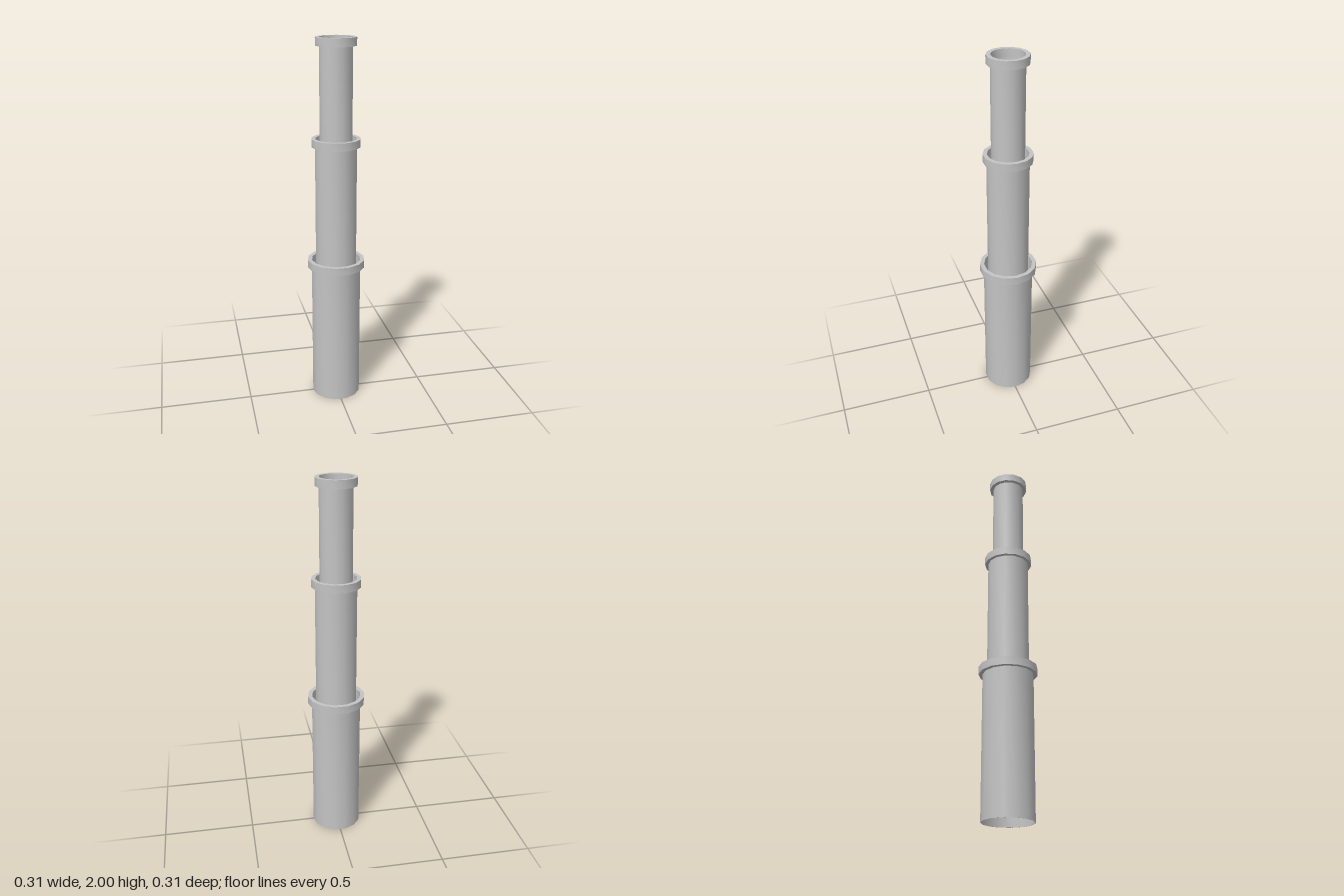
import * as THREE from 'three';
import { toCreasedNormals } from 'three/addons/utils/BufferGeometryUtils.js';

const SIDES = 14;

export function createModel() {
  const model = new THREE.Group();
  model.name = 'telescopingTube';

  const metal = new THREE.MeshStandardMaterial({ color: 0xc4c4c4 });
  metal.name = 'grey metal';

  // Hollow ring: outer wall up, top rim inwards, inner wall down, bottom closed
  const ring = (name, outer, inner, bottom, top) => {
    const profile = [
      [outer, bottom], [outer, top], [inner, top], [inner, bottom], [outer, bottom],
    ].map(([r, y]) => new THREE.Vector2(r, y));
    const lathe = new THREE.LatheGeometry(profile, SIDES, Math.PI / 2);
    const mesh = new THREE.Mesh(toCreasedNormals(lathe, 0.6), metal);
    mesh.name = name;
    return mesh;
  };

  // Each section slides a little way into the wider one below it
  const sections = [
    { name: 'lower', tube: 0.136, inner: 0.134, collar: 0.157, bottom: 0, top: 0.813 },
    { name: 'middle', tube: 0.1125, inner: 0.109, collar: 0.131, bottom: 0.70, top: 1.485 },
    { name: 'upper', tube: 0.0875, inner: 0.0855, collar: 0.108, bottom: 1.37, top: 2 },
  ];
  const collarHeight = 0.043;

  for (const s of sections) {
    const section = new THREE.Group();
    section.name = `${s.name}Section`;
    const seam = s.top - collarHeight;
    section.add(
      ring(`${s.name}Tube`, s.tube, s.inner, s.bottom, seam),
      ring(`${s.name}Collar`, s.collar, s.inner, seam, s.top),
    );
    model.add(section);
  }
  return model;
}
